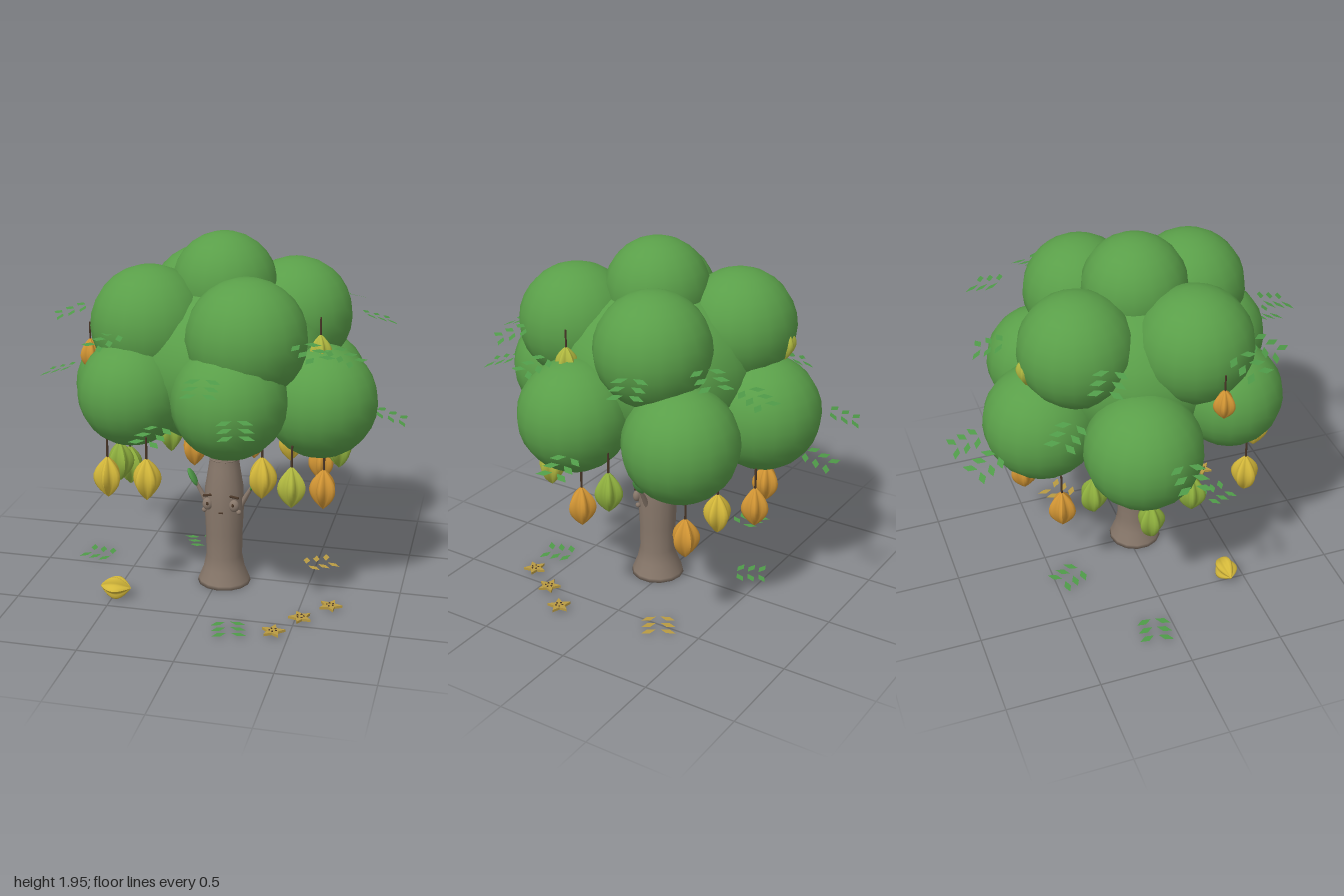
import * as THREE from 'three';

const mat = (name, color, side = THREE.FrontSide) => {
  const m = new THREE.MeshStandardMaterial({ color, side });
  m.name = name;
  return m;
};

export function createModel() {
  const model = new THREE.Group();
  model.name = 'starfruitTree';
  const bark = mat('bark', 0x87776a);
  const darkBark = mat('dark bark', 0x4a3728);
  const canopyGreen = mat('canopy green', 0x5a9f49);
  const leafGreen = mat('leaf green', 0x4f9a48, THREE.DoubleSide);
  const dry = mat('dry yellow', 0xb89a42, THREE.DoubleSide);
  const yellow = mat('ripe yellow', 0xd4b83a);
  const orange = mat('ripe orange', 0xd39634);
  const lime = mat('lime', 0xb2ba40);
  const green = mat('unripe green', 0x8fb03e);

  const CX = 0.035, CZ = 0.05; // trunk axis
  const add = (name, geo, material, x = 0, y = 0, z = 0, parent = model) => {
    const m = new THREE.Mesh(geo, material);
    m.name = name;
    m.position.set(x, y, z);
    parent.add(m);
    return m;
  };

  // Trunk with flared foot and a growth ring
  const profile = [[0, 0], [0.145, 0], [0.14, 0.02], [0.112, 0.09], [0.098, 0.16], [0.1, 0.3], [0.107, 0.45],
    [0.103, 0.56], [0.085, 0.67], [0.075, 0.74], [0.07, 0.85], [0.068, 1.0]].map(p => new THREE.Vector2(...p));
  add('trunk', new THREE.LatheGeometry(profile, 14), bark, CX, 0, CZ);
  add('trunkRing', new THREE.TorusGeometry(0.077, 0.004, 6, 20), bark, CX, 0.72, CZ).rotation.x = Math.PI / 2;

  // Face and raised arms, mirrored
  const ball = new THREE.SphereGeometry(1, 16, 12);
  for (const s of [-1, 1]) {
    add('eye', ball, bark, CX + s * 0.073, 0.48, CZ + 0.085).scale.set(0.028, 0.034, 0.022);
    add('pupil', ball, darkBark, CX + s * 0.07, 0.488, CZ + 0.104).scale.set(0.008, 0.01, 0.005);
    const brow = add('brow', new THREE.CapsuleGeometry(0.007, 0.045, 3, 8), darkBark, CX + s * 0.07, 0.53, CZ + 0.085);
    brow.rotation.z = Math.PI / 2 - s * 0.15;
    add('cheek', ball, bark, CX + s * 0.095, 0.437, CZ + 0.065).scale.setScalar(0.014);
    const arm = add('arm', new THREE.CylinderGeometry(0.008, 0.018, 0.19, 8), bark, CX + s * 0.125, 0.515, CZ + 0.01);
    arm.rotation.z = -s * 0.5;
    const hand = add('handLeaf', ball, leafGreen, CX + s * 0.172, 0.597, CZ + 0.01);
    hand.scale.set(0.014, 0.055, 0.033);
    hand.rotation.z = -s * 0.5;
  }
  add('mouth', new THREE.BoxGeometry(0.025, 0.006, 0.008), darkBark, CX + 0.005, 0.44, CZ + 0.106);

  // Canopy: flattened core, crown, upper ring, lower ring
  const canopy = new THREE.Group();
  canopy.name = 'canopy';
  model.add(canopy);
  const puff = new THREE.SphereGeometry(1, 18, 14);
  add('canopyCore', puff, canopyGreen, CX, 1.28, CZ, canopy).scale.set(0.55, 0.44, 0.55);
  for (const [x, y, z, r] of [
    [0.035, 1.67, 0.045, 0.275],
    [-0.31, 1.49, 0.24, 0.305], [0.23, 1.49, 0.415, 0.305], [0.375, 1.49, -0.145, 0.3], [-0.16, 1.49, -0.33, 0.3],
    [-0.36, 1.18, 0.42, 0.275], [0.17, 1.2, 0.53, 0.29], [0.57, 1.13, 0.2, 0.293],
    [0.44, 1.05, -0.35, 0.3], [-0.11, 1.06, -0.51, 0.305], [-0.515, 1.06, -0.1, 0.305],
  ]) add('foliagePuff', puff, canopyGreen, x, y, z, canopy).scale.setScalar(r);

  // Five-ridged fruit: a lathe whose radius follows the ridges
  const fruitProfile = [];
  for (let i = 0; i <= 12; i++) {
    const t = i / 12;
    fruitProfile.push(new THREE.Vector2(Math.sin(Math.PI * t) ** 0.9, t * 2 - 1));
  }
  const fruitGeo = new THREE.LatheGeometry(fruitProfile, 30);
  const fp = fruitGeo.attributes.position;
  for (let i = 0; i < fp.count; i++) {
    const k = 0.8 + 0.2 * Math.cos(5 * Math.atan2(fp.getX(i), fp.getZ(i)));
    fp.setXYZ(i, fp.getX(i) * k, fp.getY(i), fp.getZ(i) * k);
  }
  fruitGeo.computeVertexNormals();
  const stemGeo = new THREE.CylinderGeometry(0.006, 0.006, 0.12, 6);
  const hung = [
    [-0.48, 0.73, 0.48, yellow], [-0.525, 0.59, -0.06, green], [-0.36, 0.7, -0.32, green],
    [-0.225, 0.8, 0.64, yellow], [-0.26, 0.57, -0.46, orange], [0.345, 0.83, 0.565, yellow],
    [0.3, 0.64, -0.485, yellow], [0.47, 0.74, 0.435, lime], [0.49, 0.565, -0.41, orange],
    [0.59, 0.63, 0.155, orange], [0.64, 0.79, -0.05, green], [0.07, 0.6, -0.575, orange],
    [-0.51, 0.7, 0.17, green], [-0.62, 1.32, 0.28, orange, 0.78], [0.57, 1.4, 0.24, lime, 0.8],
    [-0.18, 1.43, -0.59, lime, 0.78],
  ];
  hung.forEach(([x, y, z, m, s = 1], i) => {
    const g = new THREE.Group();
    g.name = 'hangingFruit';
    g.position.set(x, y, z);
    g.rotation.y = i * 1.1;
    g.scale.setScalar(s);
    model.add(g);
    add('fruit', fruitGeo, m, 0, 0, 0, g).scale.set(0.075, 0.113, 0.075);
    add('stem', stemGeo, darkBark, 0, 0.16, 0, g);
  });
  const fallen = add('fallenFruit', fruitGeo, yellow, -0.48, 0.065, 0.4);
  fallen.scale.set(0.066, 0.085, 0.066);
  fallen.rotation.z = Math.PI / 2;

  // Star-shaped slices with seeds
  const star = new THREE.Shape();
  for (let i = 0; i < 10; i++) {
    const r = i % 2 ? 0.03 : 0.064, a = i * Math.PI / 5;
    star[i ? 'lineTo' : 'moveTo'](r * Math.sin(a), r * Math.cos(a));
  }
  star.closePath();
  const starGeo = new THREE.ExtrudeGeometry(star, { depth: 0.014, bevelEnabled: false });
  [[0.42, 0.62], [0.53, 0.44], [0.66, 0.275]].forEach(([x, z], i) => {
    const g = new THREE.Group();
    g.name = 'starSlice';
    g.position.set(x, 0.014, z);
    g.rotation.y = i * 0.5;
    model.add(g);
    add('slice', starGeo, dry, 0, 0, 0, g).rotation.x = -Math.PI / 2;
    for (let k = 0; k < 5; k++) {
      const a = k * Math.PI * 0.4;
      add('seed', ball, darkBark, 0.018 * Math.sin(a), 0.015, 0.018 * Math.cos(a), g).scale.set(0.005, 0.004, 0.005);
    }
  });

  // Leaf sprig: three pairs of diamond leaflets, pointing along +z
  const pts = [];
  for (const t of [-0.08, -0.02, 0.04]) for (const s of [-1, 1]) {
    const base = [s * 0.012, 0, t], tip = [s * 0.09, 0, t + 0.038];
    const a = [s * 0.042, 0, t + 0.036], b = [s * 0.06, 0, t + 0.002];
    const q = s > 0 ? [base, b, tip, a] : [base, a, tip, b];
    for (const i of [0, 2, 1, 0, 3, 2]) pts.push(...q[i]);
  }
  const sprigGeo = new THREE.BufferGeometry();
  const order = [];
  for (let i = 0; i < pts.length; i += 9) order.push(...pts.slice(i, i + 3), ...pts.slice(i + 6, i + 9), ...pts.slice(i + 3, i + 6));
  // wind every leaflet to face up
  for (let i = 0; i < order.length; i += 9) {
    const [ax, , az, bx, , bz, cx, , cz] = order.slice(i, i + 9);
    if ((bz - az) * (cx - ax) - (bx - ax) * (cz - az) < 0) {
      const b = order.slice(i + 3, i + 6);
      for (let k = 0; k < 3; k++) { order[i + 3 + k] = order[i + 6 + k]; order[i + 6 + k] = b[k]; }
    }
  }
  sprigGeo.setAttribute('position', new THREE.Float32BufferAttribute(order, 3));
  sprigGeo.computeVertexNormals();
  const sprig = (name, x, y, z, tilt, m) => {
    const s = add(name, sprigGeo, m, x, y, z);
    s.rotation.order = 'YXZ';
    s.rotation.set(tilt, Math.atan2(x - CX, z - CZ), 0);
  };
  for (const [x, y, z] of [
    [-0.9, 1.14, 0], [0.92, 1.02, 0.04], [-0.34, 1.03, -0.87], [0, 0.93, -0.9], [0.27, 1.31, -0.68],
    [0.58, 1.5, -0.6], [0.8, 1.46, -0.28], [0.71, 1.41, 0.34], [0.58, 1.49, 0.58], [0.11, 1.365, 0.87],
    [0.28, 1.18, 0.89], [-0.18, 1.05, 0.7], [-0.45, 1.48, 0.58], [-0.69, 1.57, 0.37], [-0.54, 1.52, -0.29],
    [-0.49, 1.22, -0.49],
  ]) sprig('leafSprig', x, y, z, 0.3, leafGreen);
  for (const [x, z, m] of [[-0.74, -0.11, leafGreen], [0.52, -0.265, dry], [0.19, 0.63, leafGreen], [-0.2, -0.42, leafGreen]])
    sprig('fallenLeaves', x, 0.01, z, 0, m);

  return model;
}
